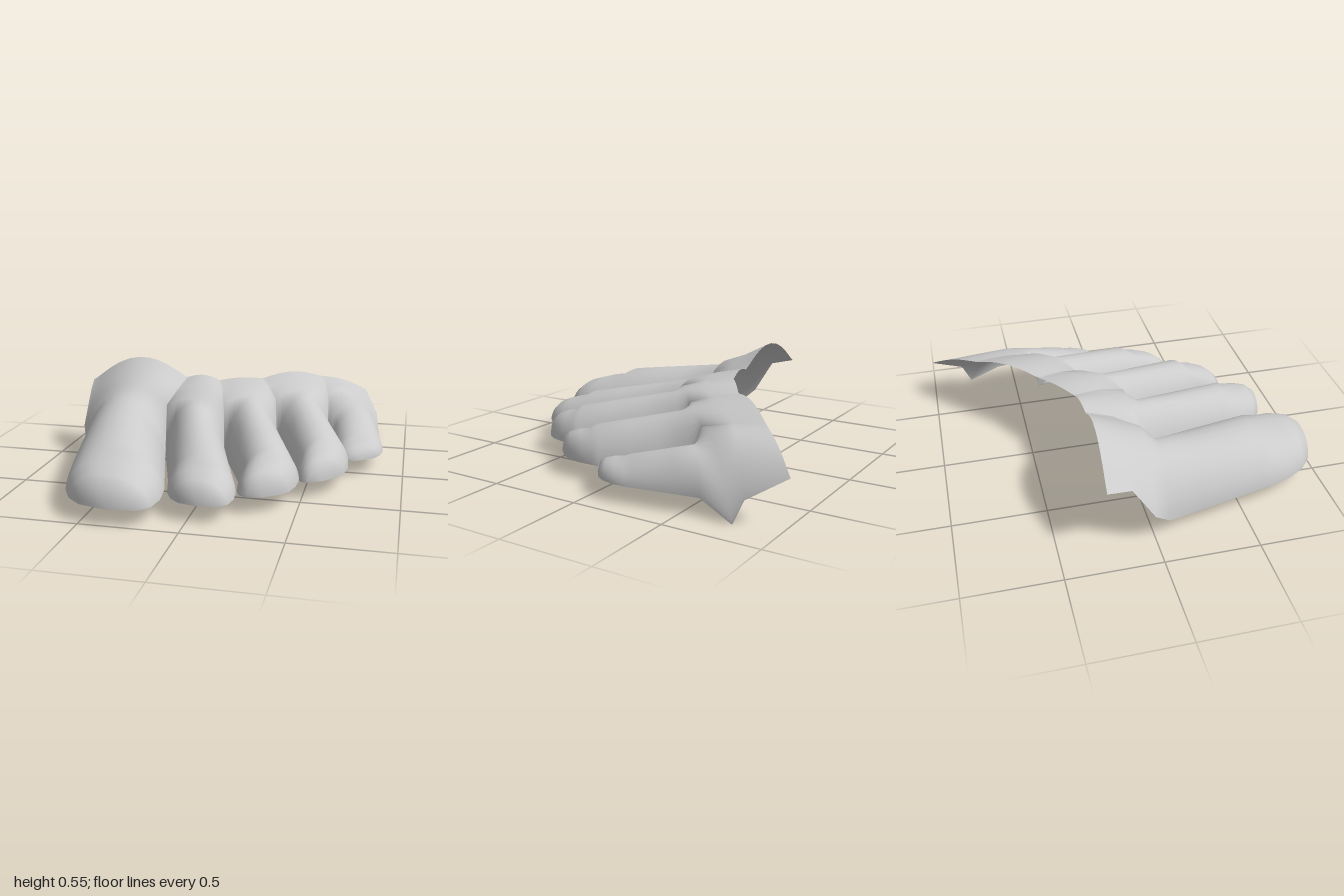
import * as THREE from 'three';
import { mergeVertices } from 'three/addons/utils/BufferGeometryUtils.js';

const BASE = 0.085;   // height of the open lower rim
const ACROSS = 14;    // faces over each toe
const V = (x, y, z) => new THREE.Vector3(x, y, z);

// Lines between the toes: rear rim, instep, web, foot of the web
const seams = [
  [V(-0.88, 0.39, -0.26), V(-0.85, 0.36, -0.13), V(-0.855, 0.17, -0.01), V(-0.81, BASE, 0.08)],
  [V(-0.28, 0.44, -0.24), V(-0.3, 0.405, -0.1), V(-0.335, 0.335, 0.03), V(-0.33, BASE, 0.09)],
  [V(-0.09, 0.425, -0.265), V(-0.04, 0.405, -0.1), V(-0.005, 0.355, 0.03), V(0.01, BASE, 0.08)],
  [V(0.14, 0.412, -0.42), V(0.2, 0.395, -0.28), V(0.255, 0.35, -0.19), V(0.275, BASE, -0.13)],
  [V(0.46, 0.368, -0.745), V(0.5, 0.36, -0.58), V(0.535, 0.325, -0.43), V(0.545, BASE, -0.37)],
  [V(0.73, 0.23, -1), V(0.815, 0.12, -0.82), V(0.835, 0, -0.77), V(0.82, BASE, -0.59)],
];

// rise: arch heights at the four seam stations; a, b: rim beside the nail root;
// tip: foremost rim point; height: arch height at the nail root
const toes = [
  { rise: [0.13, 0.09, 0.16, 0.295], a: V(-0.69, BASE, 0.62), b: V(-0.165, BASE, 0.66), tip: V(-0.35, BASE, 1), height: 0.23 },
  { rise: [0.022, 0.018, 0.04, 0.28], a: V(-0.16, BASE, 0.61), b: V(0.195, BASE, 0.63), tip: V(0.06, BASE, 0.868), height: 0.18 },
  { rise: [0.01, 0.02, 0.04, 0.285], a: V(0.19, BASE, 0.53), b: V(0.48, BASE, 0.4), tip: V(0.34, BASE, 0.685), height: 0.18 },
  { rise: [0.035, 0.03, 0.045, 0.27], a: V(0.45, BASE, 0.28), b: V(0.705, BASE, 0.07), tip: V(0.6, BASE, 0.4), height: 0.17 },
  { rise: [0.02, 0.06, 0.12, 0.195], a: V(0.62, BASE, -0.08), b: V(0.875, BASE, -0.24), tip: V(0.77, BASE, 0.03), height: 0.11 },
];

// Roundness of the arch along the seam stations: soft instep to steep toe
const ROUND = [1.3, 1.25, 0.9, 0.62];
// Nail and toe end: angle round the tip in degrees, share of the nail root height
const NAIL = [[5, 0.82], [20, 0.75], [42, 0.62], [64, 0.43], [90, 0]];

// One cross-section arching from rim a to rim b
function arch(a, b, height, power, round) {
  const points = [];
  for (let k = 0; k <= ACROSS; k++) {
    const s = -Math.cos((Math.PI * k) / ACROSS);
    const p = a.clone().lerp(b, (s + 1) / 2);
    p.y += height * Math.max(0, 1 - Math.abs(s) ** power) ** round;
    points.push(p);
  }
  return points;
}

// All sections of a toe, from the rear rim to the tip
function toeSections({ rise, a, b, tip, height }, i) {
  const sections = rise.map((h, j) => arch(seams[i][j], seams[i + 1][j], h, 2.1, ROUND[j]));

  // shaft of the toe, from the web to the nail root
  for (const f of [0.33, 0.67, 1]) {
    const left = seams[i][3].clone().lerp(a, f);
    const right = seams[i + 1][3].clone().lerp(b, f);
    sections.push(arch(left, right, THREE.MathUtils.lerp(rise[3], height, f), 2.1, 0.6));
  }

  // nail and blunt end: both rims follow a rounded quarter curve to the tip
  const centre = a.clone().lerp(b, 0.5);
  for (const [degrees, share] of NAIL) {
    const angle = THREE.MathUtils.degToRad(degrees);
    const side = share === 0 ? 0 : Math.cos(angle) ** 0.7;
    const middle = centre.clone().lerp(tip, Math.sin(angle) ** 0.7);
    const rim = (p) => p.clone().sub(centre).multiplyScalar(side).add(middle);
    sections.push(arch(rim(a), rim(b), height * share, 2.5, 0.6));
  }
  return sections;
}

export function createModel() {
  const positions = [];
  const index = [];

  // Loft each toe strip, then weld the strips into one smooth open shell
  toes.forEach((toe, i) => {
    const sections = toeSections(toe, i);
    const start = positions.length / 3;
    const id = (row, k) => start + row * (ACROSS + 1) + k;
    sections.forEach((section) => section.forEach((p) => positions.push(p.x, p.y, p.z)));
    for (let r = 0; r < sections.length - 1; r++) {
      for (let k = 0; k < ACROSS; k++) {
        index.push(id(r, k), id(r + 1, k), id(r, k + 1));
        // the last row closes to a point
        if (r < sections.length - 2) index.push(id(r, k + 1), id(r + 1, k), id(r + 1, k + 1));
      }
    }
  });

  let geometry = new THREE.BufferGeometry();
  geometry.setAttribute('position', new THREE.Float32BufferAttribute(positions, 3));
  geometry.setIndex(index);
  geometry = mergeVertices(geometry, 1e-4);
  geometry.computeVertexNormals();

  const shell = new THREE.Mesh(geometry, new THREE.MeshStandardMaterial({
    color: 0xcccccc, side: THREE.DoubleSide,
  }));
  shell.name = 'toesAndInstep';

  const group = new THREE.Group();
  group.name = 'forefoot';
  group.add(shell);
  return group;
}
